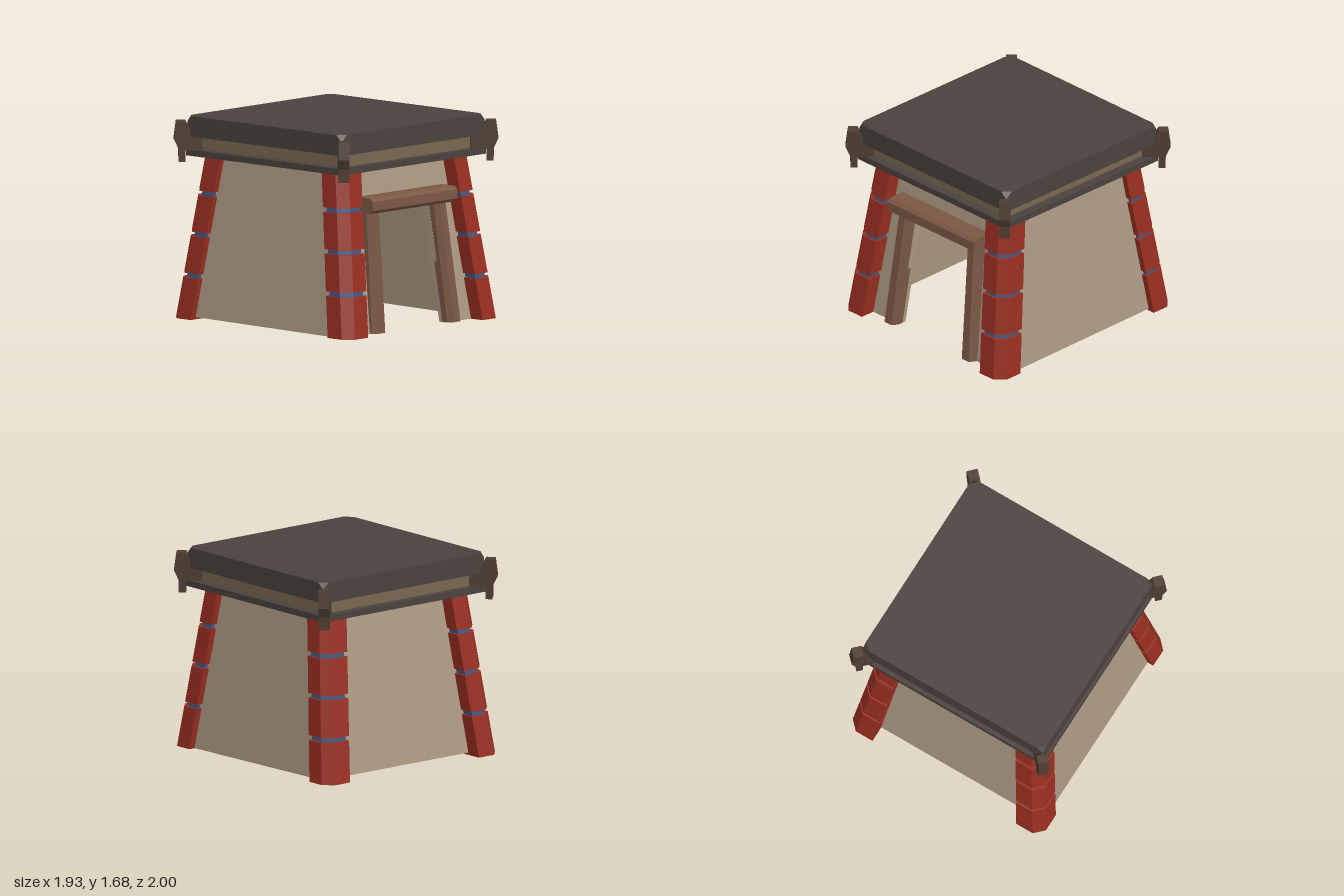
import * as THREE from 'three';
import { ConvexGeometry } from 'three/addons/geometries/ConvexGeometry.js';

const paint = (color) => new THREE.MeshStandardMaterial({ color });
const SIDES = [-1, 1];

export function createModel() {
  const model = new THREE.Group();
  const wallPaint = paint(0xab9882), red = paint(0x982e20), blue = paint(0x42557f);
  const wood = paint(0x7a5744), roofPaint = paint(0x4a413d);
  const bandPaint = paint(0x786750), bracketPaint = paint(0x4e3e32);

  // Faceted convex solid through a handful of corner points
  const solid = (name, points, material, parent = model) => {
    const mesh = new THREE.Mesh(new ConvexGeometry(points.map((p) => new THREE.Vector3(...p))), material);
    mesh.name = name;
    parent.add(mesh);
    return mesh;
  };
  const box = (name, w, y0, y1, d, material) => {
    const mesh = new THREE.Mesh(new THREE.BoxGeometry(w, y1 - y0, d), material);
    mesh.position.y = (y0 + y1) / 2;
    mesh.name = name;
    model.add(mesh);
  };

  // Leaning wall planes
  const wallX = (y) => 0.875 - 0.104 * y;
  const wallZ = (y) => 0.87 - 0.146 * y;
  const T = 0.07, TOP = 1.36;
  const doorX = (y) => 0.385 - 0.055 * y;

  // Front or back panel between two x edges given as functions of height
  const panel = (name, s, y0, y1, xa, xb) => {
    const pts = [];
    for (const y of [y0, y1]) for (const x of [xa(y), xb(y)]) for (const t of [0, T]) {
      pts.push([x, y, s * (wallZ(y) - t)]);
    }
    solid(name, pts, wallPaint);
  };
  panel('backWall', -1, 0.02, TOP, (y) => -wallX(y), wallX);
  panel('frontWallTop', 1, 1.03, TOP, (y) => -wallX(y), wallX);

  for (const s of SIDES) {
    panel('frontWallSide', 1, 0, 1.03, (y) => s * doorX(y), (y) => s * wallX(y));

    // Side walls, slightly raised at the back
    const pts = [];
    for (const zs of SIDES) for (const y of [zs < 0 ? 0.02 : 0, TOP]) for (const t of [0, T]) {
      pts.push([s * (wallX(y) - t), y, zs * wallZ(y)]);
    }
    solid('sideWall', pts, wallPaint);

    // Door posts with chamfered front edges
    const post = [];
    for (const y of [0.005, 1.01]) {
      const xi = 0.38 - 0.045 * y, xo = 0.53 - 0.06 * y;
      const zf = 0.935 - 0.115 * y, zb = wallZ(y) - 0.03;
      for (const [x, z] of [[xi, zb], [xo, zb], [xo, zf - 0.045], [xo - 0.035, zf], [xi + 0.035, zf], [xi, zf - 0.045]]) {
        post.push([s * x, y, z]);
      }
    }
    solid('doorPost', post, wood);
  }

  // Lintel: a chamfered beam across the door
  const lintel = [];
  const lintelProfile = [[0.7, 0.99], [0.85, 0.99], [0.888, 1.02], [0.885, 1.095], [0.855, 1.12], [0.7, 1.12]];
  for (const x of [-0.512, 0.512]) for (const [z, y] of lintelProfile) lintel.push([x, y, z]);
  solid('doorLintel', lintel, wood);

  // Leaning corner pillars: red blocks separated by recessed blue bands
  const pillarRing = (sx, sz, y, inset) => {
    const xo = 0.93 - 0.104 * y - inset, xi = 0.692 - 0.097 * y + inset;
    const zo = 1.0 - 0.148 * y - inset, zi = 0.765 - 0.145 * y + inset;
    const c = 0.078;
    return [[xi, zi], [xo, zi], [xo, zo - c], [xo - c, zo], [xi, zo]].map(([x, z]) => [sx * x, y, sz * z]);
  };
  const blocks = [[0, 0.34], [0.378, 0.682], [0.72, 1.02], [1.06, 1.36]];

  for (const sx of SIDES) for (const sz of SIDES) {
    const pillar = new THREE.Group();
    pillar.name = 'cornerPillar';
    model.add(pillar);
    blocks.forEach(([a, b], i) => {
      solid('pillarBlock', [...pillarRing(sx, sz, a, 0), ...pillarRing(sx, sz, b, 0)], red, pillar);
      const next = blocks[i + 1];
      if (next) {
        solid('pillarBand', [...pillarRing(sx, sz, b - 0.01, 0.02), ...pillarRing(sx, sz, next[0] + 0.01, 0.02)], blue, pillar);
      }
    });

    // Diagonal roof bracket: a plate with a pointed outer edge and a hanging foot
    const bracket = new THREE.Group();
    bracket.name = 'roofBracket';
    model.add(bracket);
    const plate = (name, profile) => {
      const pts = [];
      for (const w of [-0.032, 0.032]) for (const [r, y] of profile) {
        pts.push([sx * (r + w), y, sz * (r + 0.018 - w)]);
      }
      solid(name, pts, bracketPaint, bracket);
    };
    plate('bracketArm', [[0.77, 1.395], [0.9, 1.395], [0.9, 1.515], [0.77, 1.515]]);
    plate('bracketHead', [[0.835, 1.42], [0.908, 1.41], [0.934, 1.49], [0.92, 1.637], [0.865, 1.637], [0.835, 1.56]]);
    plate('bracketFoot', [[0.865, 1.3], [0.905, 1.3], [0.908, 1.43], [0.865, 1.43]]);
  }

  // Roof: thin eave board, recessed band and thick slab with clipped corners
  box('eaveBoard', 1.74, 1.35, 1.402, 1.74, roofPaint);
  box('roofBand', 1.58, 1.4, 1.52, 1.6, bandPaint);
  const slab = [];
  for (const [y, c] of [[1.51, 0.05], [1.54, 0.012], [1.635, 0.012], [1.68, 0.06]]) {
    for (const sx of SIDES) for (const sz of SIDES) {
      slab.push([sx * 0.87, y, sz * (0.868 - c)], [sx * (0.87 - c), y, sz * 0.868]);
    }
  }
  solid('roofSlab', slab, roofPaint);

  return model;
}
